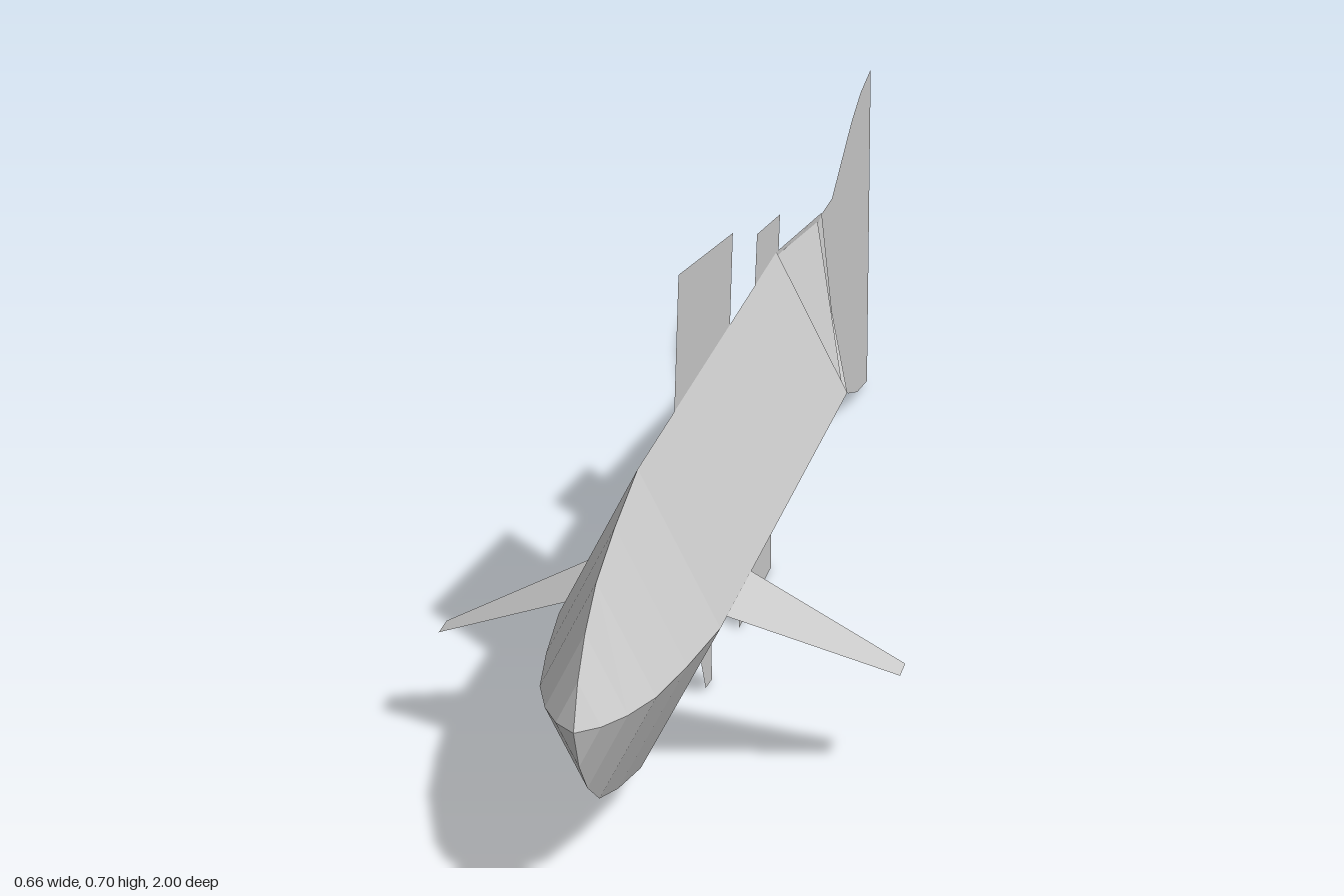
import * as THREE from 'three';

const material = new THREE.MeshStandardMaterial({ color: 0xcccccc, flatShading: true, side: THREE.DoubleSide });
const MID = 0.29; // height of the body's centre line

// Builds a mesh from quads given as four corner vectors each
function quadMesh(name, quads) {
  const positions = [];
  for (const [a, b, c, d] of quads)
    for (const p of [a, b, c, a, c, d]) positions.push(p.x, p.y, p.z);
  const geometry = new THREE.BufferGeometry();
  geometry.setAttribute('position', new THREE.Float32BufferAttribute(positions, 3));
  geometry.computeVertexNormals();
  const mesh = new THREE.Mesh(geometry, material);
  mesh.name = name;
  return mesh;
}

// Thin upright fin on the centre plane, outlined by [z, y] points
function uprightFin(name, outline) {
  const shape = new THREE.Shape(outline.map(([z, y]) => new THREE.Vector2(-z, y)));
  const geometry = new THREE.ShapeGeometry(shape).rotateY(Math.PI / 2);
  const mesh = new THREE.Mesh(geometry, material);
  mesh.name = name;
  return mesh;
}

// Diamond cross-section: left, top, right, bottom
const diamond = ([z, w, h]) => [[w, 0], [0, h], [-w, 0], [0, -h]]
  .map(([x, y]) => new THREE.Vector3(x, MID + y, z));

function createBody() {
  const group = new THREE.Group();
  group.name = 'body';
  // Stations along the body: z, half width, half height
  const rings = [
    [1, 0, 0], [0.975, 0.03, 0.06], [0.935, 0.055, 0.11], [0.875, 0.078, 0.155],
    [0.775, 0.096, 0.19], [0.65, 0.112, 0.221], [-0.235, 0.112, 0.221], [-0.585, 0.018, 0.167],
  ].map(diamond);
  const skin = [], panels = [];
  for (let i = 0; i < rings.length - 1; i++) {
    for (let j = 0; j < 4; j++) {
      const k = (j + 1) % 4;
      const outer = [rings[i][j], rings[i + 1][j], rings[i + 1][k], rings[i][k]];
      if (i < rings.length - 2 || j % 2) {
        skin.push(outer);
        continue;
      }
      // Two opposite rear faces carry a slightly sunken panel inside a rim
      const [a, d, c, b] = outer;
      const normal = c.clone().sub(a).cross(b.clone().sub(d)).normalize();
      const at = (u, v) => a.clone().lerp(d, u).lerp(b.clone().lerp(c, u), v).addScaledVector(normal, -0.004);
      const inner = [at(0.03, 0.03), at(0.94, 0.03), at(0.94, 0.97), at(0.03, 0.97)];
      for (let s = 0; s < 4; s++) {
        const t = (s + 1) % 4;
        skin.push([outer[s], outer[t], inner[t], inner[s]]);
      }
      panels.push(inner);
    }
  }
  const [l, t, r, b] = rings[rings.length - 1];
  skin.push([l, b, r, t]); // rear cap
  group.add(quadMesh('bodySkin', skin), quadMesh('rearPanels', panels));
  return group;
}

// Side fin sloping down and outward from the widest edge
function pectoralFin(name, side) {
  const corners = [[0.11, 0.29, 0.61], [0.11, 0.29, 0.455], [0.33, 0.17, 0.455], [0.33, 0.17, 0.495]]
    .map(([x, y, z]) => new THREE.Vector3(side * x, y, z));
  return quadMesh(name, [side > 0 ? corners.reverse() : corners]);
}

export function createModel() {
  const model = new THREE.Group();
  model.name = 'fish';
  model.add(createBody());
  model.add(pectoralFin('leftPectoralFin', 1), pectoralFin('rightPectoralFin', -1));

  // Tail: upper edge mirrored about the centre line
  const upper = [[-0.58, 0.165], [-0.67, 0.163], [-0.83, 0.242], [-0.91, 0.27], [-1, 0.284]];
  model.add(uprightFin('tailFin', [
    ...upper.map(([z, h]) => [z, MID + h]),
    ...upper.map(([z, h]) => [z, MID + 0.003 - h]).reverse(),
  ]));

  // Fins on the back and belly
  model.add(
    uprightFin('frontDorsalFin', [[0.44, 0.51], [0.41, 0.7], [0.07, 0.645], [0.09, 0.51]]),
    uprightFin('rearDorsalFin', [[-0.08, 0.51], [-0.095, 0.587], [-0.26, 0.563], [-0.25, 0.505]]),
    uprightFin('pelvicFin', [[0.29, 0.07], [0.255, 0.005], [0.215, 0], [0.215, 0.07]]),
    uprightFin('analFin', [[0.03, 0.07], [0.03, 0], [-0.2, 0], [-0.2, 0.07]]),
  );
  return model;
}
